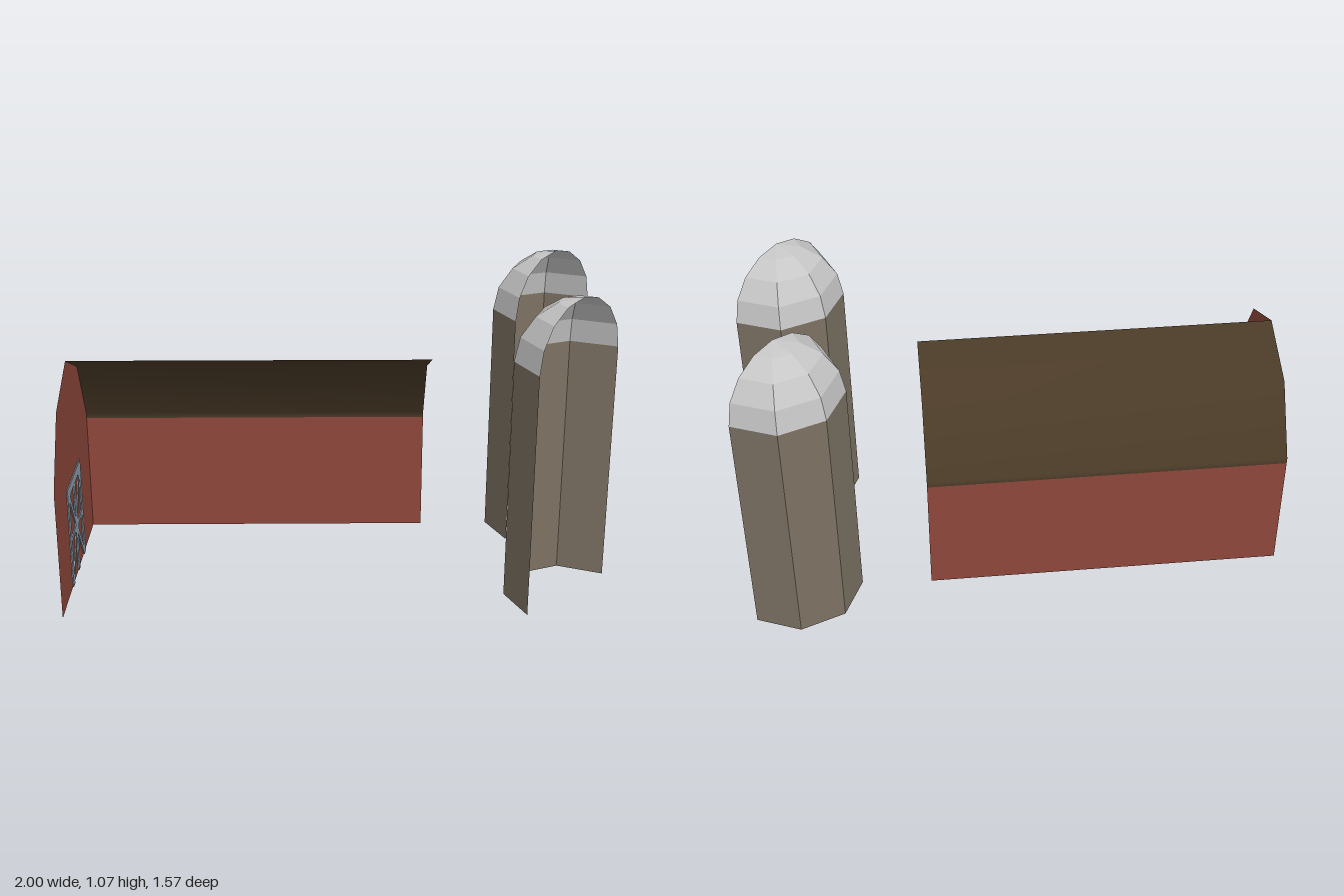
import * as THREE from 'three';
import { mergeGeometries } from 'three/addons/utils/BufferGeometryUtils.js';

function material(name, color, flatShading = false) {
  const m = new THREE.MeshStandardMaterial({ color, flatShading, side: THREE.DoubleSide });
  m.name = name;
  return m;
}

function mesh(name, geometry, mat) {
  const m = new THREE.Mesh(geometry, mat);
  m.name = name;
  return m;
}

// Sweep a cross-section [x, y] along +z; the first span is wall, the rest roof
function sideGeometry(profile, length) {
  const positions = [], index = [];
  for (const [x, y] of profile) positions.push(x, y, 0, x, y, length);
  for (let i = 0; i < profile.length - 1; i++) {
    const a = i * 2;
    index.push(a, a + 2, a + 1, a + 1, a + 2, a + 3);
  }
  const g = new THREE.BufferGeometry();
  g.setAttribute('position', new THREE.Float32BufferAttribute(positions, 3));
  g.setIndex(index);
  g.computeVertexNormals();
  g.addGroup(0, 6, 0);
  g.addGroup(6, index.length - 6, 1);
  return g;
}

// Lattice door: frame, crossing bars and a small hub, shown on both gable faces
function doorGeometry(width, height) {
  const depth = 0.008, rail = 0.03, cy = 0.17;
  const parts = [];
  const bar = (w, h, x, y, angle = 0) => {
    const g = new THREE.BoxGeometry(w, h, depth);
    g.rotateZ(angle);
    g.translate(x, y, 0);
    parts.push(g);
  };
  for (const s of [-1, 1]) {
    bar(rail, height, s * (width - rail) / 2, height / 2);
    bar(0.05, 0.02, s * (width / 2 - 0.042), height - 0.042, -s * Math.PI / 4);
    const dx = s * (width / 2 - 0.03);
    for (const y of [0.015, height - 0.03]) {
      const dy = y - cy;
      bar(Math.hypot(dx, dy), 0.02, dx / 2, cy + dy / 2, Math.atan2(dy, dx));
    }
  }
  bar(width, 0.035, 0, height - 0.0175);
  bar(0.03, height, 0, height / 2);
  bar(width, 0.016, 0, cy);
  const hub = new THREE.CylinderGeometry(0.036, 0.036, depth, 8);
  hub.rotateX(Math.PI / 2);
  hub.translate(0, cy, 0);
  parts.push(hub);
  return mergeGeometries(parts);
}

export function createModel() {
  const model = new THREE.Group();
  model.name = 'barnAndSilos';

  const barnRed = material('barn red', 0x8e473b);
  const roofBrown = material('roof brown', 0x4a3a27);
  const doorGrey = material('door blue grey', 0x8e9dac);
  const siloTaupe = material('silo taupe', 0x7c7263, true);
  const domeGrey = material('dome light grey', 0xc6c6c6, true);

  // Barn: one gable end, with the wall and roof of one long side
  const barn = new THREE.Group();
  barn.name = 'barn';
  barn.position.set(-0.765, 0, -0.5);
  barn.rotation.y = 0.885;

  const half = 0.37;
  const slope = [[half, 0.455], [0.23, 0.685], [0, 0.785]];
  const outline = [[-half, 0], [half, 0], ...slope, [-0.23, 0.685], [-half, 0.455]];
  const gable = new THREE.Shape(outline.map(([x, y]) => new THREE.Vector2(x, y)));
  barn.add(mesh('gableWall', new THREE.ShapeGeometry(gable), barnRed));

  const side = sideGeometry([[half, 0], [half, 0.435], ...slope], 1.25);
  barn.add(mesh('longWallAndRoof', side, [barnRed, roofBrown]));
  barn.add(mesh('latticeDoor', doorGeometry(0.29, 0.365), doorGrey));
  model.add(barn);

  // Silos: open half shells with faceted half domes
  const radius = 0.215, bottom = 0.008, top = 0.855;
  for (const [x, z] of [[0.415, 0.76], [0.785, 0.305]]) {
    const silo = new THREE.Group();
    silo.name = 'silo';
    silo.position.set(x, 0, z);
    silo.rotation.y = 0.095;
    const wall = new THREE.CylinderGeometry(
      radius, radius, top - bottom, 4, 1, true, Math.PI / 2, Math.PI);
    wall.translate(0, (top + bottom) / 2, 0);
    const dome = new THREE.SphereGeometry(radius, 4, 4, Math.PI, Math.PI, 0, Math.PI / 2);
    dome.translate(0, top, 0);
    silo.add(mesh('siloWall', wall, siloTaupe), mesh('siloDome', dome, domeGrey));
    model.add(silo);
  }
  return model;
}
